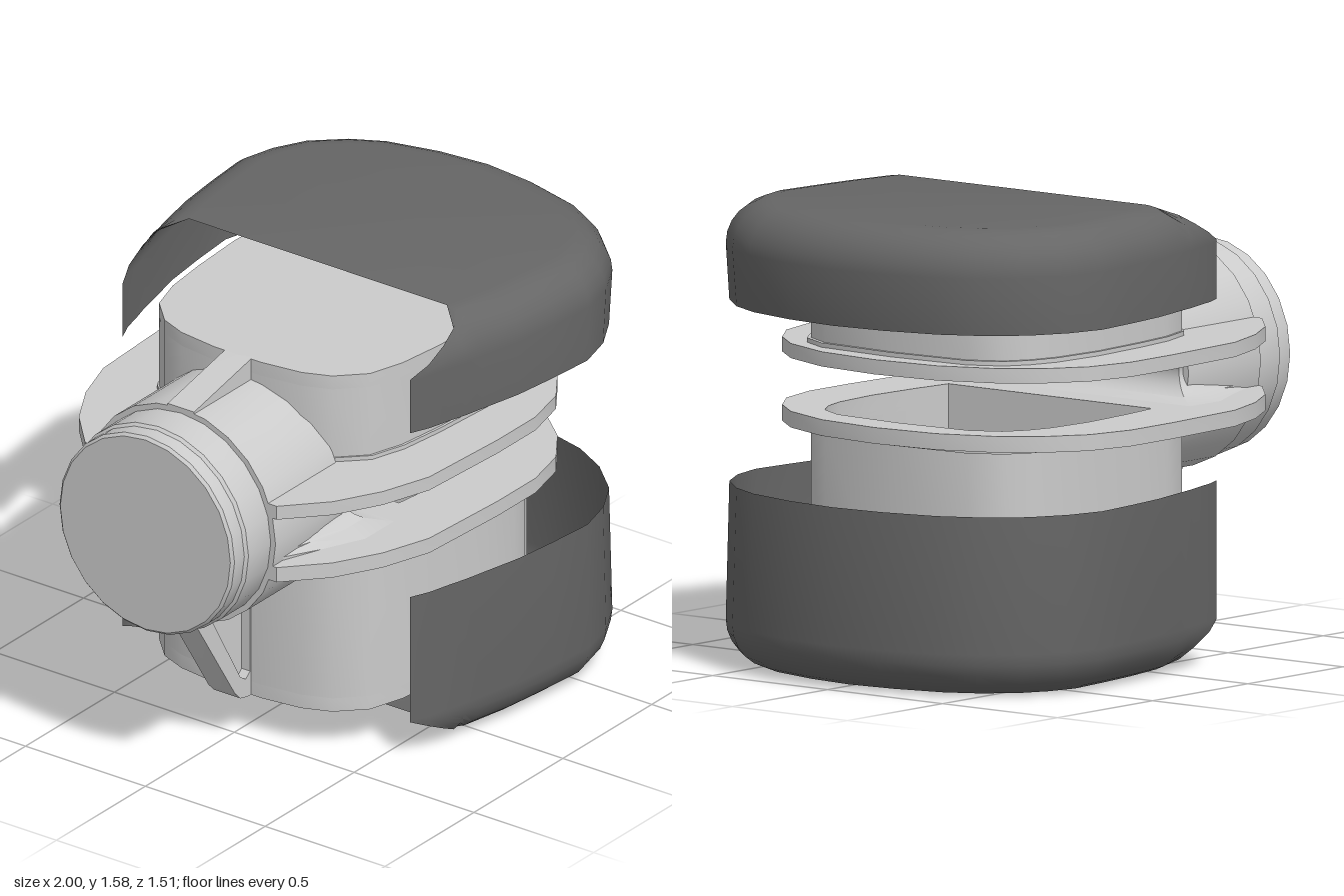
import * as THREE from 'three';
import { toCreasedNormals } from 'three/addons/utils/BufferGeometryUtils.js';

const grey = new THREE.MeshStandardMaterial({ color: 0xcccccc, side: THREE.DoubleSide });
const rubber = new THREE.MeshStandardMaterial({ color: 0x666666, side: THREE.DoubleSide });

// Plan outlines as [x, z] halves, from the pipe side round to the nose
const coreHalf = [[-0.48, 0.1], [-0.46, 0.25], [-0.42, 0.35], [-0.33, 0.44], [-0.2, 0.48], [-0.03, 0.5],
  [0.2, 0.515], [0.4, 0.5], [0.5, 0.47], [0.58, 0.42], [0.64, 0.31], [0.66, 0]];
const flangeHalf = [[-0.8, 0.4], [-0.66, 0.53], [-0.5, 0.62], [-0.32, 0.68], [0.04, 0.7], [0.25, 0.7],
  [0.42, 0.66], [0.55, 0.57], [0.65, 0.45], [0.73, 0.25], [0.755, 0]];
const capHalf = [[-0.32, 0.6], [-0.25, 0.63], [-0.17, 0.65], [-0.1, 0.67], [-0.03, 0.685], [0.13, 0.72],
  [0.3, 0.74], [0.48, 0.755], [0.62, 0.72], [0.75, 0.65], [0.86, 0.53], [0.93, 0.4], [0.98, 0.2], [1, 0]];

const mirrored = (half) => [...half, ...half.filter((p) => p[1] > 0).reverse().map(([x, z]) => [x, -z])];
const toShape = (pts) => new THREE.Shape(pts.map(([x, y]) => new THREE.Vector2(x, y)));

function mesh(name, geometry, material = grey) {
  const m = new THREE.Mesh(toCreasedNormals(geometry, 0.55), material);
  m.name = name;
  return m;
}

// Horizontal slab between two heights, with an optional opening
function slab(name, outline, y0, y1, hole) {
  const shape = toShape(outline);
  if (hole) shape.holes.push(toShape(hole));
  const g = new THREE.ExtrudeGeometry(shape, { depth: y1 - y0, bevelEnabled: false });
  return mesh(name, g.rotateX(-Math.PI / 2).translate(0, y0, 0));
}

// Upright plate in the x-y plane, centred on z = 0
function plate(name, outline, depth, hole) {
  const shape = toShape(outline);
  if (hole) shape.holes.push(toShape(hole));
  const g = new THREE.ExtrudeGeometry(shape, { depth, bevelEnabled: false });
  return mesh(name, g.translate(0, 0, -depth / 2));
}

// Joins equal-length rows of [x, y, z] points into a surface
function skin(rows, fan) {
  const n = rows[0].length;
  const pos = rows.flat(2);
  const idx = [];
  for (let i = 0; i < rows.length - 1; i++) {
    for (let k = 0; k < n - 1; k++) {
      const a = i * n + k, b = a + n;
      idx.push(a, b, a + 1, b, b + 1, a + 1);
    }
  }
  if (fan) {
    const c = pos.length / 3;
    pos.push(...fan.center);
    fan.rows.forEach((r, j) => {
      const next = fan.rows[(j + 1) % fan.rows.length];
      idx.push(c, r * n + n - 1, next * n + n - 1);
    });
  }
  const g = new THREE.BufferGeometry();
  g.setAttribute('position', new THREE.Float32BufferAttribute(pos, 3));
  g.setIndex(idx);
  return g;
}

// Open rubber shell: wall, rounded rim, flat top, cut by a sloping plane behind
function cap(name, height) {
  const R = 0.15, steps = 6;
  const outline = mirrored(capHalf);
  const topRows = [];
  const rows = outline.map(([x, z], i) => {
    const p = outline[Math.max(i - 1, 0)], q = outline[Math.min(i + 1, outline.length - 1)];
    const tx = q[0] - p[0], tz = q[1] - p[1], l = Math.hypot(tx, tz);
    const nx = tz / l, nz = -tx / l;
    const limit = Math.min(0, 0.5 * (x + 0.03));
    const maxAngle = Math.asin(Math.min(1, (limit + R) / R));
    if (x >= -0.031) topRows.push(i);
    const row = [[x > 0 ? x * 0.975 : x, -height, z]];
    for (let k = 0; k <= steps; k++) {
      const a = (maxAngle * k) / steps;
      const inset = R * (1 - Math.cos(a));
      // points behind the top edge stay in their own plane
      row.push([x < 0 ? x : x + nx * inset, -R + R * Math.sin(a), z + nz * inset]);
    }
    return row;
  });
  return mesh(name, skin(rows, { center: [0.4, 0, 0], rows: topRows }), rubber);
}

// Waisted neck that joins the two halves behind the slot
function neck() {
  const levels = 12, y0 = 0.86, h = 0.18;
  const ring = [];
  for (let k = 0; k <= levels; k++) {
    const t = (k / levels) * 2 - 1;
    const d = Math.sqrt(1 - t * t);
    const end = -0.29 - 0.11 * d, w = 0.51 - 0.14 * d;
    const half = [[-0.78, 0.37], [-0.6, 0.44 - 0.08 * d], [-0.45, w], [end, w], [end, 0]];
    ring.push(mirrored(half).map(([x, z]) => [x, y0 + (h * k) / levels, z]));
  }
  const rows = ring[0].map((_, i) => ring.map((r) => r[i]));
  return mesh('neck', skin(rows));
}

export function createModel() {
  const model = new THREE.Group();
  model.name = 'clampFitting';

  // Hollow core halves and their flanges
  const core = mirrored(coreHalf);
  const foot = core.map(([x, z]) => [x > 0 ? x + 0.012 : x, z * 1.02]);
  const cavity = core.map(([x, z]) => [Math.max(-0.27, 0.18 + (x - 0.18) * 0.92), z * 0.92])
    .filter(([x]) => x > -0.269);
  const flange = mirrored(flangeHalf);
  model.add(
    slab('upperCoreWall', core, 1.08, 1.36, cavity),
    slab('upperCoreLid', core, 1.36, 1.41),
    slab('upperCoreFoot', foot, 1.085, 1.105, cavity),
    slab('upperFlange', flange, 1.04, 1.09, cavity),
    slab('lowerFlange', flange, 0.805, 0.86, cavity),
    slab('lowerCoreFoot', foot, 0.79, 0.81, cavity),
    slab('lowerCoreWall', core, 0.2, 0.81, cavity),
    slab('lowerCoreFloor', core, 0.15, 0.2),
    neck(),
  );

  // Closed pipe stub, stepped towards its end
  const profile = [[0, 0.42], [0.395, 0.42], [0.395, 0.8], [0.375, 0.8], [0.375, 0.925], [0.365, 0.935],
    [0.365, 0.99], [0.355, 1], [0, 1]].map(([r, x]) => new THREE.Vector2(r, x));
  const pipe = mesh('pipeStub', new THREE.LatheGeometry(profile, 24).rotateZ(Math.PI / 2));
  pipe.position.y = 0.945;
  model.add(pipe);

  // Ribs above and below the pipe; the lower one has a recessed web
  const gusset = [[-0.8, 0.6], [-0.8, 0.55], [-0.57, 0.19], [-0.54, 0.16], [-0.5, 0.15], [-0.44, 0.15], [-0.44, 0.6]];
  const recess = [[-0.72, 0.55], [-0.54, 0.24], [-0.51, 0.22], [-0.485, 0.24], [-0.485, 0.55]];
  model.add(
    plate('upperRib', [[-0.8, 1.2], [-0.44, 1.2], [-0.44, 1.41], [-0.48, 1.41], [-0.8, 1.34]], 0.11),
    plate('lowerRib', gusset, 0.11, recess),
    plate('lowerRibWeb', recess, 0.04),
  );

  // Rubber caps
  const upperCap = cap('upperCap', 0.345);
  upperCap.position.y = 1.575;
  const lowerCap = cap('lowerCap', 0.615);
  lowerCap.rotation.x = Math.PI;
  model.add(upperCap, lowerCap);
  return model;
}
